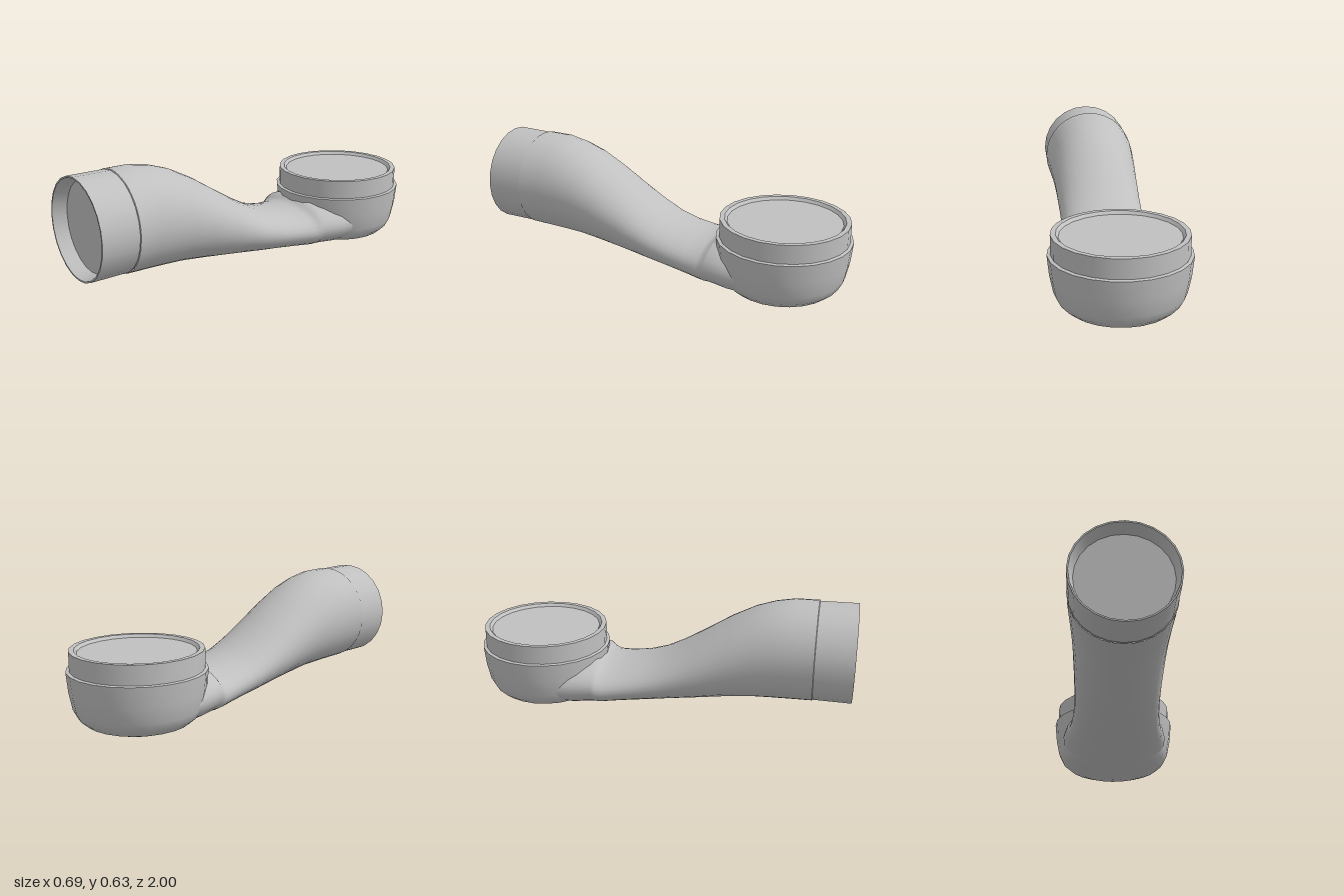
import * as THREE from 'three';

const SIDES = 24;
const grey = new THREE.MeshStandardMaterial({ color: 0xc0c0c0 });
grey.name = 'grey';

// Each profile becomes its own lathe, so edges between profiles stay crisp
function turned(name, profiles) {
  const group = new THREE.Group();
  group.name = name;
  for (const [part, pts] of Object.entries(profiles)) {
    const geo = new THREE.LatheGeometry(pts.map(([r, y]) => new THREE.Vector2(r, y)), SIDES);
    const mesh = new THREE.Mesh(geo, grey);
    mesh.name = part;
    group.add(mesh);
  }
  return group;
}

// Oval cross-sections joined into a smooth tube: [z, top, bottom, half width]
function loft(sections) {
  const n = 32, pos = [], idx = [];
  sections.forEach(([z, top, bottom, w], s) => {
    for (let i = 0; i < n; i++) {
      const a = (i / n) * Math.PI * 2;
      pos.push(w * Math.cos(a), (top + bottom) / 2 + ((top - bottom) / 2) * Math.sin(a), z);
      if (s === sections.length - 1) continue;
      const p = s * n + i, q = s * n + ((i + 1) % n);
      idx.push(p, p + n, q + n, p, q + n, q);
    }
  });
  const geo = new THREE.BufferGeometry();
  geo.setAttribute('position', new THREE.Float32BufferAttribute(pos, 3));
  geo.setIndex(idx);
  geo.computeVertexNormals();
  return geo;
}

export function createModel() {
  const model = new THREE.Group();
  model.name = 'pipeElbow';

  // Curved neck, running into the cup at the back
  const neck = new THREE.Mesh(loft([
    [0.8, 0.63, 0.11, 0.26],
    [0.68, 0.63, 0.107, 0.254],
    [0.58, 0.612, 0.104, 0.247],
    [0.48, 0.578, 0.1, 0.24],
    [0.36, 0.515, 0.088, 0.233],
    [0.2, 0.412, 0.07, 0.227],
    [0.1, 0.35, 0.06, 0.225],
    [0, 0.297, 0.05, 0.225],
    [-0.1, 0.264, 0.041, 0.23],
    [-0.2, 0.246, 0.031, 0.24],
    [-0.28, 0.242, 0.022, 0.255],
    [-0.315, 0.256, 0.018, 0.264],
    [-0.34, 0.285, 0.016, 0.27],
    [-0.45, 0.285, 0.008, 0.29],
    [-0.62, 0.28, 0.002, 0.29],
  ]), grey);
  neck.name = 'neck';
  model.add(neck);

  // Rounded cup with an upright collar and a slightly sunken lid
  const cup = turned('cup', {
    cupBowl: [[0, 0], [0.11, 0.001], [0.2, 0.018], [0.26, 0.04], [0.295, 0.07],
      [0.318, 0.115], [0.335, 0.2], [0.345, 0.3]],
    cupStep: [[0.345, 0.3], [0.328, 0.303]],
    cupCollar: [[0.328, 0.3], [0.328, 0.4]],
    cupRim: [[0.328, 0.4], [0.303, 0.4]],
    cupInnerWall: [[0.303, 0.4], [0.29, 0.385]],
    cupLid: [[0.29, 0.385], [0, 0.385]],
  });
  cup.position.z = -0.655;
  model.add(cup);

  // Front collar with a recessed lid, turned to face forward
  const collar = turned('frontCollar', {
    collarStep: [[0.26, 0.8], [0.256, 0.803]],
    collarWall: [[0.256, 0.8], [0.258, 1]],
    collarRim: [[0.258, 1], [0.25, 1]],
    collarInnerWall: [[0.25, 1], [0.23, 0.93]],
    collarLid: [[0.23, 0.93], [0, 0.93]],
  });
  collar.rotation.x = Math.PI / 2;
  collar.position.y = 0.37;
  model.add(collar);

  return model;
}
